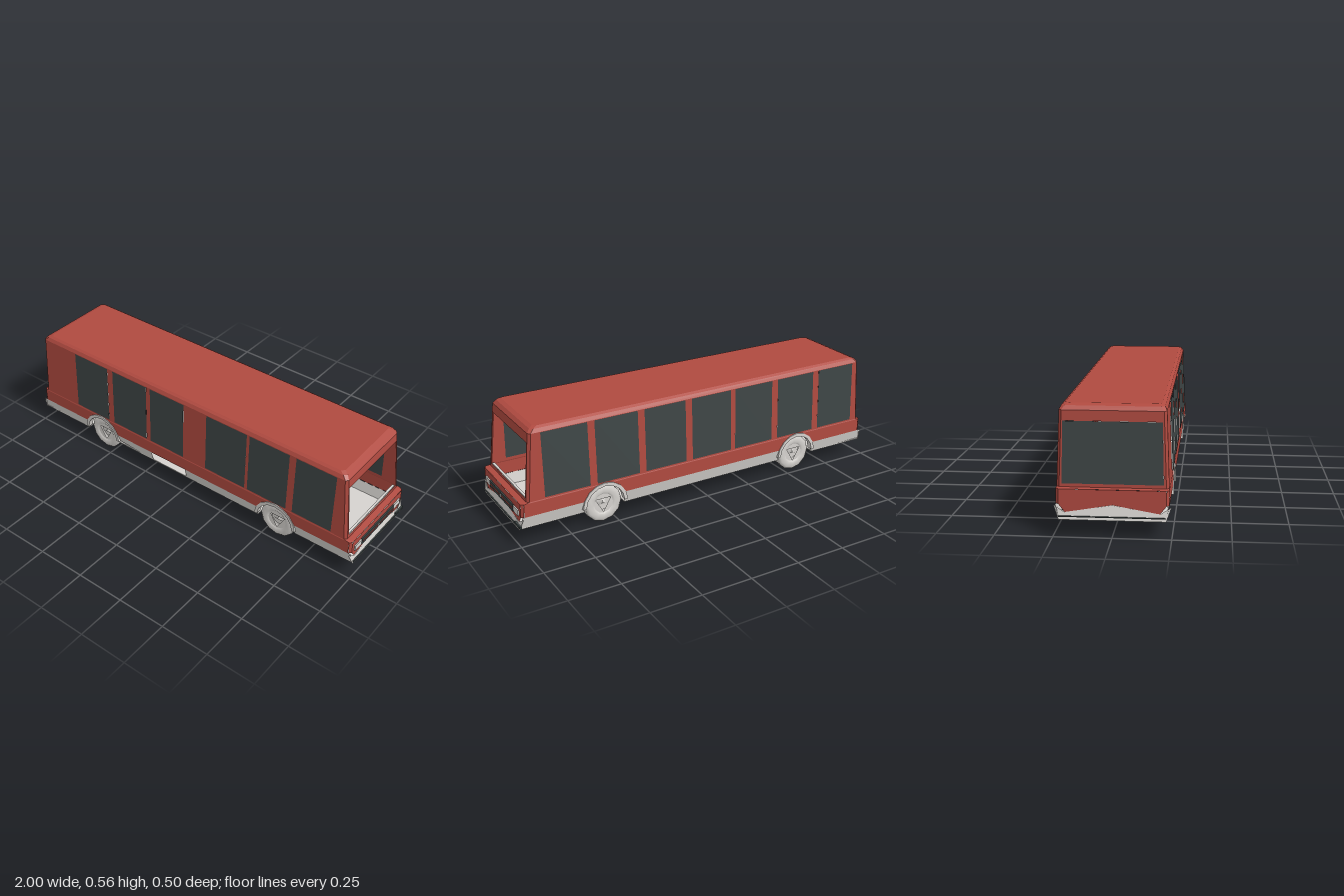
import * as THREE from 'three';

const paint = (name, color) => {
  const m = new THREE.MeshStandardMaterial({ color, side: THREE.DoubleSide });
  m.name = name;
  return m;
};
const lerp = THREE.MathUtils.lerp;

// Flat outline with optional holes
function outline(points, holes = []) {
  const toV = (p) => p.map(([u, v]) => new THREE.Vector2(u, v));
  const s = new THREE.Shape(toV(points));
  holes.forEach((h) => s.holes.push(new THREE.Path(toV(h))));
  return s;
}
const rect = (u0, u1, v0, v1) => [[u0, v0], [u1, v0], [u1, v1], [u0, v1]];

// Half circle over a wheel, walked from left to right
function archPoints(cx, cy, r, bottom, n = 8) {
  const a = Math.asin((bottom - cy) / r);
  return Array.from({ length: n + 1 }, (_, i) => {
    const t = Math.PI - a - (i / n) * (Math.PI - 2 * a);
    return [cx + r * Math.cos(t), cy + r * Math.sin(t)];
  });
}

// Chamfered rectangle at height y
function ring(y, x0, x1, h, c) {
  return [[x0 + c, h], [x1 - c, h], [x1, h - c], [x1, c - h], [x1 - c, -h], [x0 + c, -h], [x0, c - h], [x0, h - c]]
    .map(([x, z]) => [x, y, z]);
}

export function createModel() {
  const bus = new THREE.Group();
  bus.name = 'bus';
  const red = paint('red paint', 0xb04a40);
  const glass = paint('dark glass', 0x3e4646);
  const light = paint('light grey', 0xd6d3cf);

  const add = (geo, mat, name, parent = bus) => {
    const m = new THREE.Mesh(geo, mat);
    m.name = name;
    parent.add(m);
    return m;
  };
  // Bend a flat shape onto a wall: place(u, v) gives the point in space
  const panel = (shape, place, mat, name) => {
    const g = new THREE.ShapeGeometry(shape);
    const p = g.attributes.position;
    for (let i = 0; i < p.count; i++) p.setXYZ(i, ...place(p.getX(i), p.getY(i)));
    g.computeVertexNormals();
    return add(g, mat, name);
  };
  // Faces between two rings, for the chosen sides
  const loft = (a, b, sides, mat, name) => {
    const pos = [];
    for (const i of sides) {
      const j = (i + 1) % a.length;
      pos.push(...a[i], ...a[j], ...b[j], ...a[i], ...b[j], ...b[i]);
    }
    const g = new THREE.BufferGeometry();
    g.setAttribute('position', new THREE.Float32BufferAttribute(pos, 3));
    g.computeVertexNormals();
    return add(g, mat, name);
  };
  const box = (w, h, d, x, y, z, mat, name) =>
    add(new THREE.BoxGeometry(w, h, d), mat, name).position.set(x, y, z);

  const all = [0, 1, 2, 3, 4, 5, 6, 7];
  const corners = [1, 3, 5, 7];
  const Y0 = 0.21, Y1 = 0.535;
  const base = ring(Y0, -0.967, 0.955, 0.237, 0.012);
  const eaves = ring(Y1, -0.955, 0.923, 0.225, 0.012);
  const bevel = ring(0.552, -0.94, 0.908, 0.216, 0.014);
  const roof = ring(0.56, -0.918, 0.888, 0.203, 0.015);
  const t = (y) => (y - Y0) / (Y1 - Y0);

  // Roof and corner pillars
  loft(base, eaves, corners, red, 'cornerPillars');
  loft(eaves, bevel, all, red, 'roofEdge');
  loft(bevel, roof, all, red, 'roofBevel');
  panel(outline(roof.map(([x, , z]) => [x, -z])), (u, v) => [u, 0.56, -v], red, 'roof');

  // Side walls with window openings and panes
  const windows = {
    1: [[-0.72, -0.5], [-0.46, -0.24], [-0.21, 0], [0.145, 0.38], [0.4, 0.62], [0.66, 0.87]],
    '-1': [[-0.91, -0.69], [-0.65, -0.43], [-0.39, -0.17], [-0.14, 0.08], [0.12, 0.34], [0.38, 0.6], [0.64, 0.865]],
  };
  for (const s of [1, -1]) {
    const wall = [0, 1].map((i) => [base[i][0], Y0]);
    wall.push([eaves[1][0], Y1], [eaves[0][0], Y1]);
    const place = (out) => (u, v) => [u, v, s * (lerp(0.237, 0.225, t(v)) + out)];
    panel(outline(wall, windows[s].map(([a, b]) => rect(a, b, 0.225, 0.53))), place(0), red, 'sideWall');
    windows[s].forEach(([a, b]) =>
      panel(outline(rect(a - 0.002, b + 0.002, 0.218, 0.534)), place(0.003), glass, 'sideWindow'));
  }

  // End walls: open windscreen at the front, glazed rear
  const endWall = [[-0.225, Y0], [0.225, Y0], [0.213, Y1], [-0.213, Y1]];
  const opening = [[-0.214, 0.225], [0.214, 0.225], [0.208, 0.49], [-0.208, 0.49]];
  const frontPlace = (z, y) => [lerp(0.955, 0.923, t(y)), y, z];
  const rearPlace = (out) => (z, y) => [lerp(-0.967, -0.955, t(y)) - out, y, z];
  panel(outline(endWall, [opening]), frontPlace, red, 'windscreenFrame');
  panel(outline(endWall, [opening]), rearPlace(0), red, 'rearFrame');
  panel(outline(opening), rearPlace(0.003), glass, 'rearWindow');

  // Lower body band, with the wheel arches cut out
  const wheelX = [-0.555, 0.565];
  const HZ = 0.239;
  const bandTop = ring(0.205, -0.984, 0.984, HZ, 0.012);
  const bandLow = ring(0.14, -0.986, 0.986, HZ, 0.012);
  loft(bandLow, bandTop, corners, red, 'bandCorners');
  loft(bandTop, base, all, red, 'bandShelf');
  for (const s of [1, -1]) {
    const pts = [[-0.972, 0.14]];
    wheelX.forEach((x) => pts.push(...archPoints(x, 0.096, 0.105, 0.14)));
    pts.push([0.972, 0.14], [0.972, 0.206], [-0.972, 0.206]);
    panel(outline(pts), (u, v) => [u, v, s * HZ], red, 'sideBand');
    const face = [[-0.227, 0.14], [-0.2, 0.105], [0, 0.14], [0.2, 0.105], [0.227, 0.14], [0.227, 0.205], [-0.227, 0.205]];
    panel(outline(face), (u, v) => [s * 0.985, v, u], red, s > 0 ? 'frontBand' : 'rearBand');
  }

  // Light skirts, with a gap below the door
  const skirt = (x0, x1, s, h0 = 0.08, h1 = 0.08) =>
    panel(outline([[x0, h0], [x1, h1], [x1, 0.14], [x0, 0.14]]),
      (u, v) => [u, v, s * lerp(0.225, 0.238, (v - 0.08) / 0.06)], light, 'skirt');
  for (const s of [1, -1]) {
    skirt(-0.995, -0.66, s, 0.088, 0.08);
    skirt(0.67, 0.985, s, 0.08, 0.085);
    if (s > 0) {
      skirt(-0.45, -0.21, s, 0.1, 0.078);
      skirt(0.01, 0.46, s);
    } else skirt(-0.45, 0.46, s);
  }

  // Floor panels between the axles
  [[-0.99, -0.67], [-0.45, 0.46], [0.67, 0.985]].forEach(([a, b]) =>
    box(b - a, 0.006, 0.45, (a + b) / 2, 0.081, 0, light, 'floorPanel'));

  // Bumpers
  for (const s of [1, -1]) {
    const bumper = [[-0.226, 0.075], [0.226, 0.075], [0.248, 0.135], [0.2, 0.106], [0, 0.138], [-0.2, 0.106], [-0.248, 0.135]];
    panel(outline(bumper), (u, v) => [s * lerp(0.995, 0.98, (v - 0.075) / 0.063), v, u], light, 'bumper');
    box(0.006, 0.004, 0.45, s * 0.996, 0.09, 0, glass, 'bumperStrip');
  }
  box(0.008, 0.013, 0.07, 0.994, 0.093, -0.207, glass, 'bumperPlate');

  // Front face: grille, badge bar, headlights and windscreen sill
  box(0.008, 0.036, 0.295, 0.988, 0.153, 0, glass, 'grille');
  box(0.004, 0.004, 0.28, 0.993, 0.153, 0, red, 'grilleBar');
  box(0.003, 0.012, 0.012, 0.995, 0.153, 0, light, 'grilleStud');
  for (const s of [1, -1]) box(0.008, 0.03, 0.055, 0.987, 0.154, s * 0.178, light, 'headlight');
  box(0.012, 0.005, 0.43, 0.943, 0.222, 0, light, 'windscreenSill');

  // Wheels with dished hubs and a triangular centre
  const tyre = new THREE.LatheGeometry(
    [[0.05, 0.02], [0.06, 0.026], [0.083, 0.025], [0.096, 0.016], [0.096, -0.018], [0.083, -0.026], [0.05, -0.026]]
      .map(([r, y]) => new THREE.Vector2(r, y)), 12).rotateX(Math.PI / 2);
  const circle = (r, n, turn = 0) => Array.from({ length: n }, (_, i) => {
    const a = turn + (i / n) * Math.PI * 2;
    return [r * Math.cos(a), r * Math.sin(a)];
  });
  const hub = new THREE.ShapeGeometry(outline(circle(0.053, 12), [circle(0.046, 3, Math.PI / 6)]));
  const hubCap = new THREE.ConeGeometry(0.04, 0.022, 3).rotateX(Math.PI / 2).rotateZ(Math.PI);
  for (const x of wheelX) for (const s of [1, -1]) {
    const wheel = new THREE.Group();
    wheel.name = 'wheel';
    wheel.position.set(x, 0.096, s * 0.196);
    if (s < 0) wheel.rotation.y = Math.PI;
    bus.add(wheel);
    add(tyre, light, 'tyre', wheel);
    add(hub, light, 'hubRing', wheel).position.z = 0.018;
    add(hubCap, light, 'hubCap', wheel).position.z = 0.004;
    add(new THREE.CircleGeometry(0.052, 12), light, 'hubBack', wheel).position.z = -0.008;

    // Arch trim around the wheel
    const trim = outline([...archPoints(x, 0.096, 0.118, 0.1), ...archPoints(x, 0.096, 0.101, 0.1).reverse()]);
    const arch = new THREE.ExtrudeGeometry(trim, { depth: 0.03, bevelEnabled: false });
    add(arch, light, 'wheelArch').position.z = s > 0 ? 0.213 : -0.243;
  }
  return bus;
}
